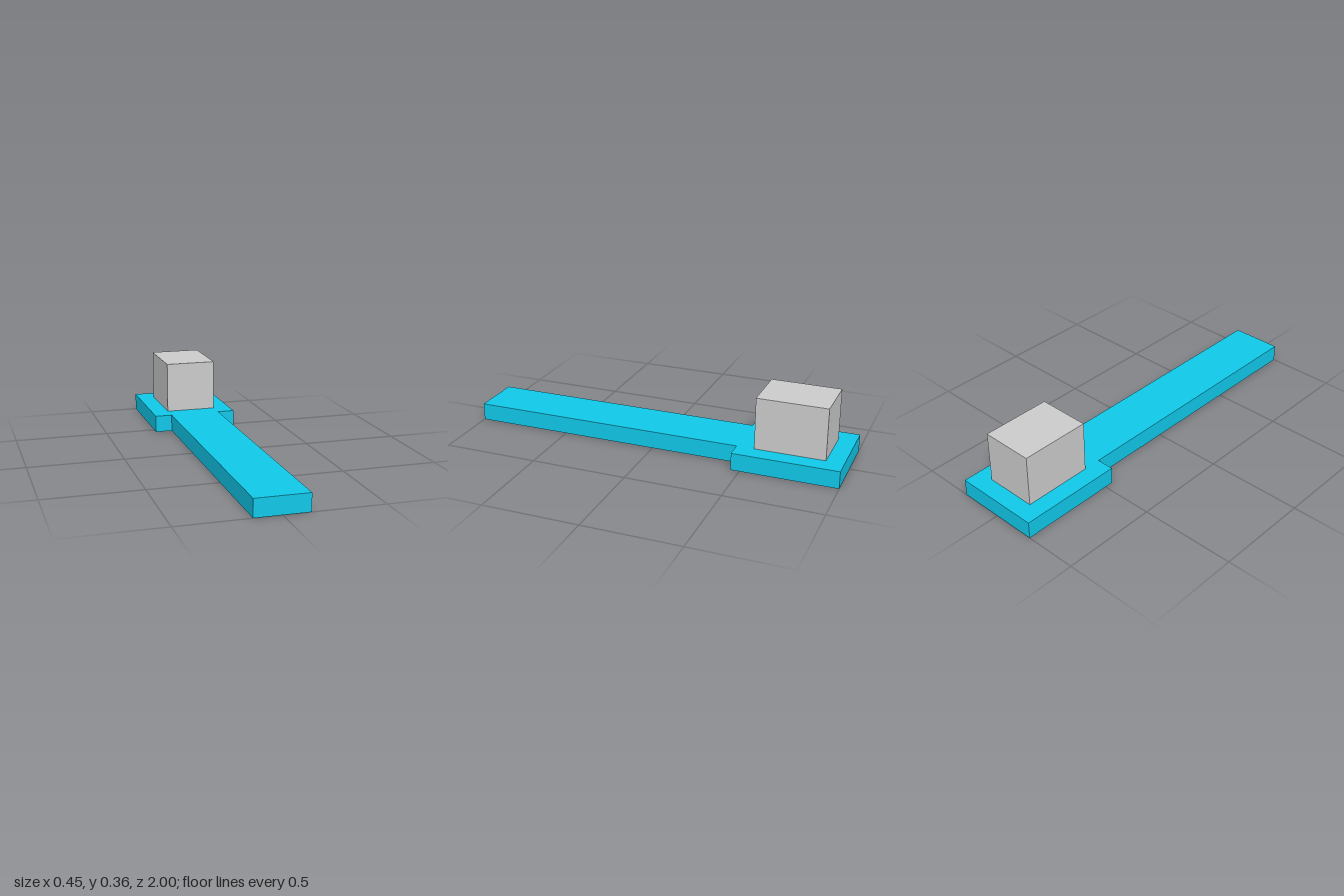
import * as THREE from 'three';

const U = 1 / 11; // module unit: the whole piece is 22 units long

export function createModel() {
  const model = new THREE.Group();
  const blue = new THREE.MeshStandardMaterial({ color: 0x10c8e9 });
  const grey = new THREE.MeshStandardMaterial({ color: 0xcccccc });

  // Flat base: long narrow arm widening into a pad at the back, one mirrored outline
  const half = [[1.5, -11], [1.5, 5], [2.5, 5], [2.5, 11]];
  const mirrored = half.map(([x, y]) => [-x, y]).reverse();
  const outline = [...half, ...mirrored].map(([x, y]) => new THREE.Vector2(x * U, y * U));
  const baseGeometry = new THREE.ExtrudeGeometry(new THREE.Shape(outline), {
    depth: U,
    bevelEnabled: false,
  });
  baseGeometry.rotateX(-Math.PI / 2); // lay flat: outline y becomes -z, depth becomes height
  const base = new THREE.Mesh(baseGeometry, blue);
  base.name = 'base';
  model.add(base);

  // Block standing on the pad
  const block = new THREE.Mesh(new THREE.BoxGeometry(3 * U, 3 * U, 4 * U), grey);
  block.name = 'block';
  block.position.set(0, 2.5 * U, -8 * U);
  model.add(block);

  return model;
}
